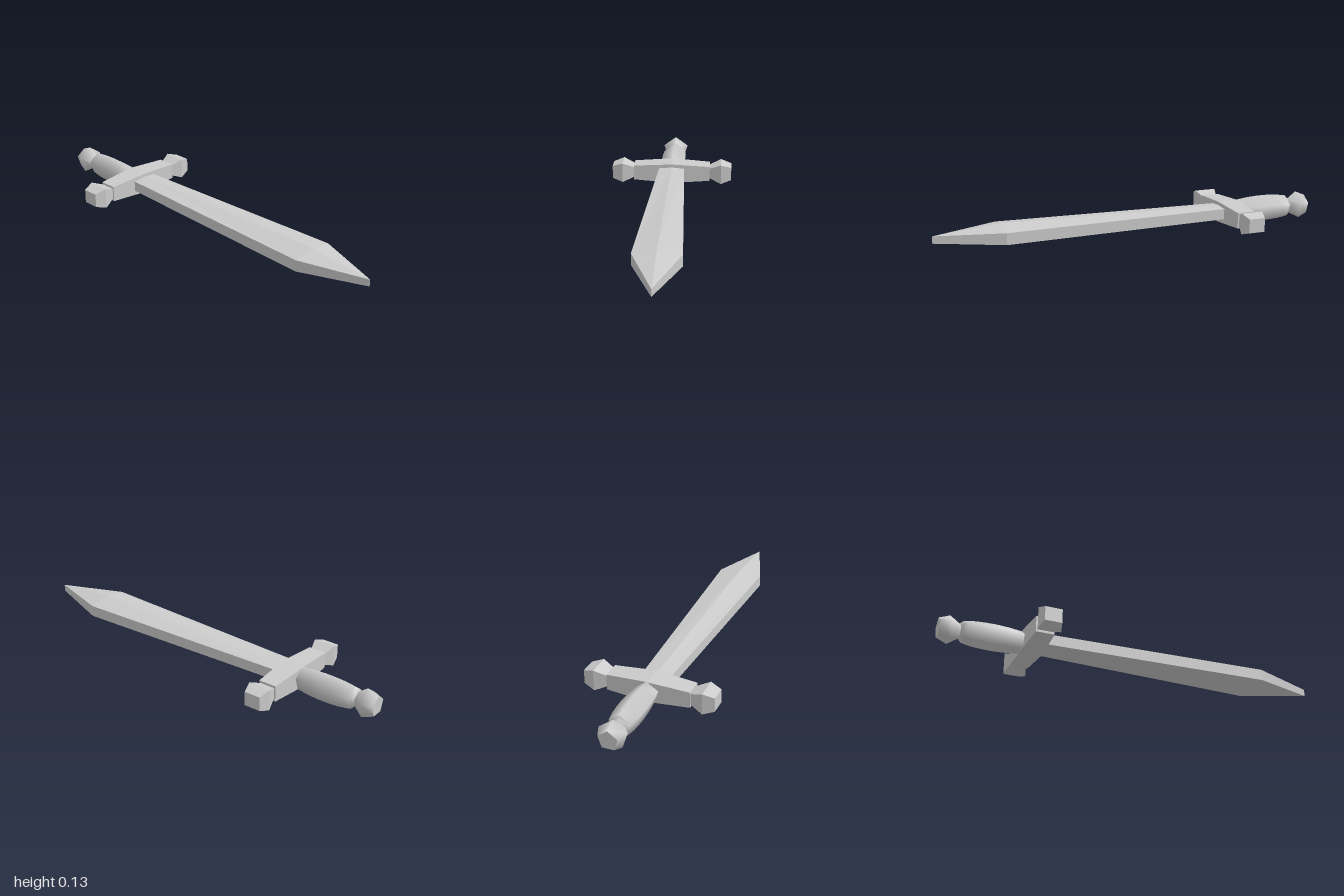
import * as THREE from 'three';

const MID_Y = 0.064;   // height of the blade and guard axis
const GRIP_Y = 0.0595; // centre of the five-sided grip
const GUARD_Z = -0.541;

// Skins rings of [x, y] points (counter-clockwise, ordered by rising z) and caps both ends.
function loft(sections) {
  const pos = [], index = [];
  const n = sections[0].ring.length;
  const addRing = ({ z, ring }) => {
    const start = pos.length / 3;
    ring.forEach(([x, y]) => pos.push(x, y, z));
    return start;
  };
  sections.forEach((section, s) => {
    const b = addRing(section), a = b - n;
    if (s === 0) return;
    for (let i = 0; i < n; i++) {
      const j = (i + 1) % n;
      index.push(a + i, a + j, b + j, a + i, b + j, b + i);
    }
  });
  // Caps have their own vertices so that their rims stay sharp
  const back = addRing(sections[0]);
  const front = addRing(sections[sections.length - 1]);
  for (let i = 1; i < n - 1; i++) {
    index.push(back, back + i + 1, back + i, front, front + i, front + i + 1);
  }
  const geometry = new THREE.BufferGeometry();
  geometry.setAttribute('position', new THREE.Float32BufferAttribute(pos, 3));
  geometry.setIndex(index);
  geometry.computeVertexNormals();
  return geometry;
}

// Blade section: upright edges at the sides, a ridge above and below
const bladeRing = (w, edge, ridge) =>
  [[w, -edge], [w, edge], [0, ridge], [-w, edge], [-w, -edge], [0, -ridge]];

const boxRing = (w, h) => [[w, -h], [w, h], [-w, h], [-w, -h]];

// Pentagon with one corner pointing up
const pentagonRing = (r) => Array.from({ length: 5 }, (_, i) => {
  const a = Math.PI / 2 + (i * Math.PI * 2) / 5;
  return [r * Math.cos(a), r * Math.sin(a)];
});

export function createModel() {
  const group = new THREE.Group();
  const flat = new THREE.MeshStandardMaterial({ color: 0xcccccc, flatShading: true });
  const smooth = new THREE.MeshStandardMaterial({ color: 0xcccccc });

  const add = (name, sections, material, y, z = 0) => {
    const mesh = new THREE.Mesh(loft(sections), material);
    mesh.name = name;
    mesh.position.set(0, y, z);
    group.add(mesh);
    return mesh;
  };

  // Blade, widening towards the point
  add('blade', [
    { z: -0.5, ring: bladeRing(0.068, 0.027, 0.034) },
    { z: 0.67, ring: bladeRing(0.115, 0.029, 0.049) },
    { z: 1, ring: bladeRing(0.0005, 0.0175, 0.0177) },
  ], flat, MID_Y + 0.002);

  // Cross guard, lofted along z and turned to run along x
  add('guard', [
    { z: -0.208, ring: boxRing(0.046, 0.04) },
    { z: 0, ring: boxRing(0.055, 0.0535) },
    { z: 0.208, ring: boxRing(0.046, 0.04) },
  ], flat, MID_Y, GUARD_Z).rotation.y = Math.PI / 2;

  // Faceted knobs at both ends of the guard
  for (const [name, side] of [['leftGuardKnob', 1], ['rightGuardKnob', -1]]) {
    add(name, [
      { z: 0.205, ring: boxRing(0.037, 0.027) },
      { z: 0.27, ring: boxRing(0.057, 0.0535) },
      { z: 0.326, ring: boxRing(0.042, 0.035) },
    ], flat, MID_Y, GUARD_Z).rotation.y = side * Math.PI / 2;
  }

  // Swelling five-sided grip, softly shaded
  const gripProfile = [
    [-0.88, 0.056], [-0.865, 0.059], [-0.82, 0.0655], [-0.77, 0.0685],
    [-0.72, 0.069], [-0.66, 0.066], [-0.59, 0.058],
  ];
  add('grip', gripProfile.map(([z, r]) => ({ z, ring: pentagonRing(r) })), smooth, GRIP_Y + 0.001);

  // Narrow neck between grip and pommel
  add('neck', [
    { z: -0.9, ring: pentagonRing(0.036) },
    { z: -0.88, ring: pentagonRing(0.056) },
  ], smooth, GRIP_Y + 0.001);

  // Pommel
  add('pommel', [
    { z: -1, ring: pentagonRing(0.05) },
    { z: -0.945, ring: pentagonRing(0.0725) },
    { z: -0.893, ring: pentagonRing(0.035) },
  ], smooth, GRIP_Y);

  return group;
}
